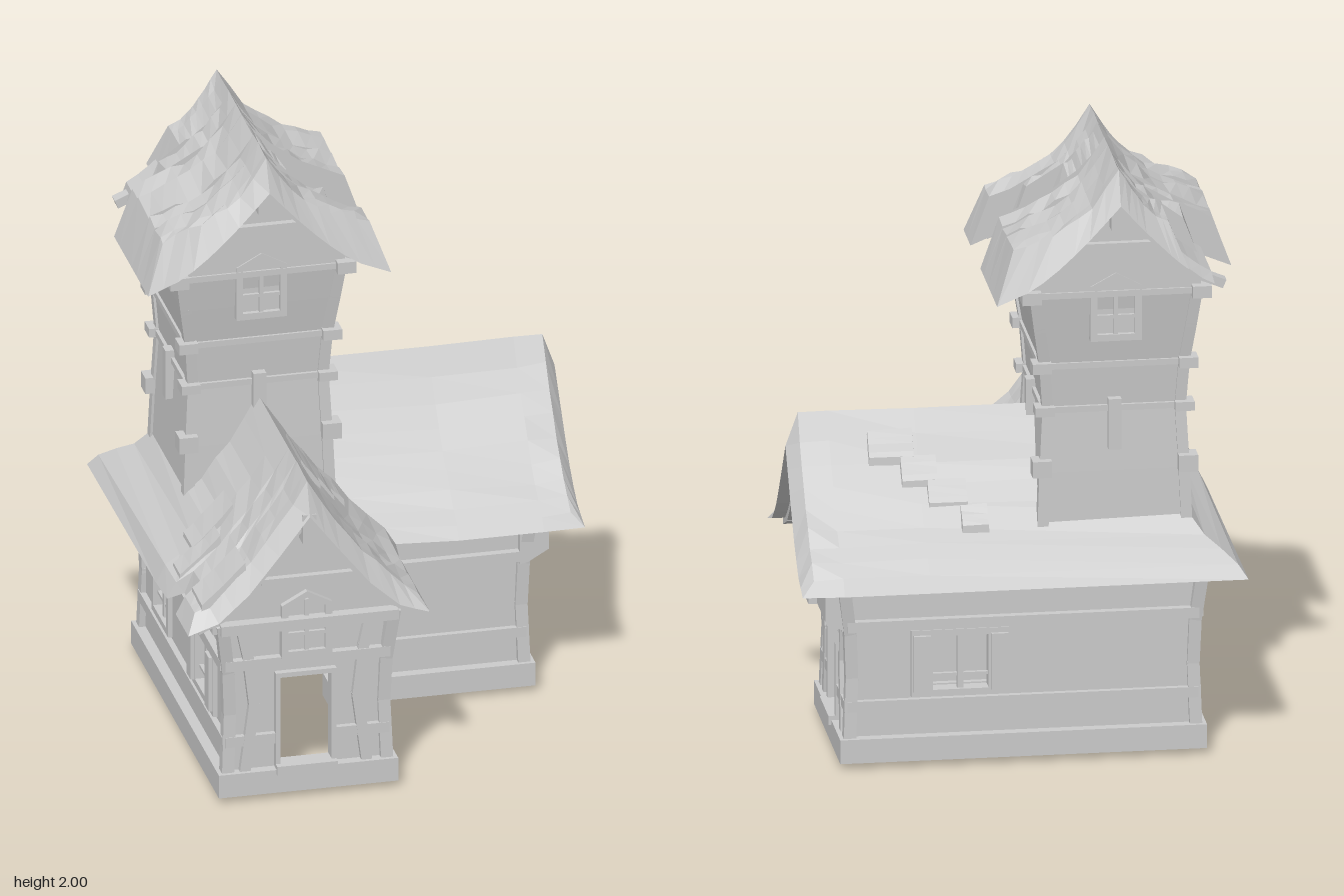
import * as THREE from 'three';

const mat = new THREE.MeshStandardMaterial({ color: 0xcccccc, flatShading: true, side: THREE.DoubleSide });
const CX = -0.315, CZ = -0.27; // ridge crossing and tower centre
let seed = 7;
const rnd = () => (seed = (seed * 16807) % 2147483647) / 2147483647;

function add(parent, name, geo) {
  const m = new THREE.Mesh(geo, mat);
  m.name = name;
  parent.add(m);
  return m;
}
function box(parent, name, x, y, z, w, h, d) {
  add(parent, name, new THREE.BoxGeometry(w, h, d)).position.set(x, y, z);
}
// timber between two points, kept square to the walls; d is its size along z when it rises
function beam(parent, name, a, b, w, d = w) {
  const A = new THREE.Vector3(...a), B = new THREE.Vector3(...b);
  const m = add(parent, name, new THREE.BoxGeometry(w, d, A.distanceTo(B) + Math.min(w, d) * 0.4));
  const up = a[1] === b[1] ? new THREE.Vector3(0, 1, 0) : new THREE.Vector3(0, 0, 1);
  m.position.copy(A).add(B).multiplyScalar(0.5);
  m.quaternion.setFromRotationMatrix(new THREE.Matrix4().lookAt(B, A, up));
}
const polybeam = (p, name, pts, w, d) => pts.slice(1).forEach((q, i) => beam(p, name, pts[i], q, w, d));
// flat outline with holes, extruded backwards from z = 0
function slab(parent, name, pts, holes, depth) {
  const s = new THREE.Shape(pts.map(p => new THREE.Vector2(...p)));
  holes.forEach(h => s.holes.push(new THREE.Path(h.map(p => new THREE.Vector2(...p)))));
  const g = new THREE.ExtrudeGeometry(s, { depth, bevelEnabled: false });
  return add(parent, name, g.translate(0, 0, -depth));
}
const rect = (x0, x1, y0, y1) => [[x0, y0], [x1, y0], [x1, y1], [x0, y1]];
function side(parent, name, x, z, turn) {
  const g = new THREE.Group();
  g.name = name;
  g.position.set(x, 0, z);
  g.rotation.y = turn * Math.PI / 2;
  parent.add(g);
  return g;
}
const at = (table, d) => {
  d = Math.abs(d);
  let i = 1;
  while (i < table.length - 1 && table[i][0] < d) i++;
  const [a, b] = [table[i - 1], table[i]];
  return a[1] + (b[1] - a[1]) * Math.min(1, (d - a[0]) / (b[0] - a[0]));
};

// thatch swept through stations: o = ridge point, a = sideways direction, e = travel, lo..hi = extent
function thatch(parent, name, stations, top, bot, chamfer, inset, rough = 0.014, n = 17) {
  const rings = stations.map((s, i) => {
    const ring = [[], []];
    const ins = i === 0 ? inset : i === stations.length - 1 ? -inset : 0;
    [[top, chamfer, ins], [bot, 0, 0]].forEach(([table, ch, shift], layer) => {
      const lo = s.lo + ch, hi = s.hi - ch;
      for (let k = 0; k < n; k++) {
        const t = 2 * k / (n - 1) - 1;
        const d = lo < 0 && hi > 0 ? (t < 0 ? -t * lo : t * hi) : lo + (hi - lo) * (t + 1) / 2;
        const y = at(table, d) - (layer ? 0 : rnd() * rough * (k === (n - 1) / 2 ? 0.4 : 1));
        ring[layer].push([s.o[0] + s.a[0] * d + s.e[0] * shift, y, s.o[1] + s.a[1] * d + s.e[1] * shift]);
      }
    });
    return [...ring[0], ...ring[1].reverse()];
  });
  const pos = [];
  const quad = (a, b, c, d) => pos.push(...a, ...b, ...c, ...a, ...c, ...d);
  const m = 2 * n;
  for (let i = 0; i < rings.length - 1; i++)
    for (let k = 0; k < m; k++) {
      const j = (k + 1) % m;
      quad(rings[i][k], rings[i][j], rings[i + 1][j], rings[i + 1][k]);
    }
  const F = rings[0], E = rings[rings.length - 1];
  for (let k = 0; k < n - 1; k++) {
    quad(F[k], F[m - 1 - k], F[m - 2 - k], F[k + 1]);
    quad(E[k], E[k + 1], E[m - 2 - k], E[m - 1 - k]);
  }
  const g = new THREE.BufferGeometry();
  g.setAttribute('position', new THREE.Float32BufferAttribute(pos, 3));
  g.computeVertexNormals();
  add(parent, name, g);
}
const alongZ = (z, lo, hi) => ({ o: [CX, z], a: [1, 0], e: [0, -1], lo, hi });
const alongX = (x, lo, hi) => ({ o: [x, CZ], a: [0, 1], e: [1, 0], lo, hi });
const lift = (table, h) => table.map(([d, y]) => [d, y + h]);

// L-shaped plan, grown outwards by o
const plan = o => [[-0.57 - o, 0.6 + o], [-0.05 + o, 0.6 + o], [-0.05 + o, 0.0 + o],
  [0.545 + o, 0.0 + o], [0.545 + o, -0.54 - o], [-0.57 - o, -0.54 - o]];

// pointed gable window with frame, recessed pane and bars
function archWindow(parent, y, z) {
  const g = side(parent, 'gableWindow', 0, z, 0);
  g.position.y = y;
  const arch = s => [[-0.083 + s, s], [0.083 - s, s], [0.083 - s, 0.185 - s * 0.4], [0, 0.23 - s], [-0.083 + s, 0.185 - s * 0.4]];
  slab(g, 'windowFrame', arch(0), [arch(0.022)], 0.035).position.z = 0.02;
  slab(g, 'windowPane', arch(0.02), [], 0.02).position.z = 0.004;
  box(g, 'windowBar', 0, 0.11, 0.008, 0.014, 0.18, 0.014);
  box(g, 'windowBar', 0, 0.08, 0.008, 0.125, 0.012, 0.014);
}
// windows are [centre, frame width]; wide frames get a shutter on either side of the opening
function wall(parent, name, x, z, turn, w, windows, door) {
  const g = side(parent, name, x, z, turn);
  const holes = windows.map(([c]) => rect(c - 0.095, c + 0.095, 0.245, 0.435));
  if (door) holes.push(rect(-0.085, 0.085, 0.1, 0.42));
  slab(g, 'wallPanel', rect(-w / 2, w / 2, 0.03, 0.64), holes, 0.03);
  windows.forEach(([c, ww]) => {
    slab(g, 'windowFrame', rect(c - ww / 2, c + ww / 2, 0.228, 0.452), [rect(c - 0.09, c + 0.09, 0.25, 0.43)], 0.05).position.z = 0.014;
    if (ww > 0.25) for (const s of [-1, 1]) box(g, 'shutter', c + s * (ww / 4 + 0.045), 0.34, 0.014, ww / 2 - 0.105, 0.19, 0.025);
    box(g, 'mullion', c, 0.34, -0.008, 0.02, 0.19, 0.02);
    box(g, 'glazingBar', c, 0.295, -0.008, 0.19, 0.01, 0.014);
  });
  if (door) {
    for (const s of [-1, 1]) {
      box(g, 'doorPost', s * 0.092, 0.265, 0, 0.016, 0.33, 0.045);
      polybeam(g, 'bowedPost', [[s * 0.2, 0.1, 0.004], [s * 0.17, 0.33, 0.004], [s * 0.19, 0.5, 0.004], [s * 0.215, 0.62, 0.004]], 0.035);
    }
    box(g, 'doorLintel', 0, 0.426, 0, 0.2, 0.016, 0.045);
    box(g, 'doorSill', 0, 0.1, 0.01, 0.2, 0.03, 0.07);
  }
}
// gable triangle with rafters, collar and king post
function gable(parent, name, x, z, turn, outline, rake, collarY, collarW) {
  const g = side(parent, name, x, z, turn);
  slab(g, 'gablePanel', [...outline, ...outline.slice(0, -1).reverse().map(p => [-p[0], p[1]])], [], 0.03);
  for (const s of [-1, 1]) polybeam(g, 'rafter', rake.map(p => [s * p[0], p[1], 0.02]), 0.03, 0.04);
  box(g, 'kingPost', 0, rake[rake.length - 1][1] - 0.04, 0.03, 0.045, 0.1, 0.05);
  box(g, 'collarBeam', 0, collarY, 0.008, collarW, 0.022, 0.03);
  return g;
}

export function createModel() {
  const model = new THREE.Group();
  model.name = 'cottageWithTower';

  // stone footing ring and doorstep
  const footing = slab(model, 'footing', plan(0.035).map(([x, z]) => [x, -z]), [plan(-0.05).map(([x, z]) => [x, -z])], 0.08);
  footing.rotation.x = -Math.PI / 2;
  footing.position.y = 0.1;
  box(model, 'doorstep', 0.53, 0.03, CZ, 0.05, 0.06, 0.2);

  // walls
  wall(model, 'frontWall', CX, 0.6, 0, 0.51, [], true);
  wall(model, 'sideWingEndWall', 0.545, CZ, 1, 0.54, [], true);
  wall(model, 'frontWingInnerWall', -0.05, 0.3, 1, 0.6, [[-0.005, 0.23]]);
  wall(model, 'sideWingFrontWall', 0.2475, 0, 0, 0.595, []);
  wall(model, 'backWall', -0.0125, -0.54, 2, 1.115, [[-0.2, 0.32]]);
  wall(model, 'outerWall', -0.57, 0.03, 3, 1.14, [[-0.3, 0.23], [0.275, 0.32]]);

  // horizontal timbers; the low one is interrupted by the doors
  const ring = plan(0.002);
  const level = (pts, y) => pts.map(([x, z]) => [x, y, z]);
  const loop = (o, y) => level([...plan(o), plan(o)[0]], y);
  polybeam(model, 'lowBeam', level([[-0.215, ring[0][1]], ring[1], ring[2], ring[3], [ring[3][0], -0.17]], 0.205), 0.035);
  polybeam(model, 'lowBeam', level([[ring[4][0], -0.37], ring[4], ring[5], ring[0], [-0.415, ring[0][1]]], 0.205), 0.035);
  polybeam(model, 'middleBeam', loop(0.004, 0.475), 0.045, 0.035);
  polybeam(model, 'eaveBeam', loop(0.025, 0.615), 0.06, 0.035);

  // bowed corner posts
  const offs = [0.002, -0.006, 0, 0.022].map(plan);
  ring.forEach((_, c) => polybeam(model, 'cornerPost',
    [0.09, 0.3, 0.45, 0.62].map((y, i) => [offs[i][c][0], y, offs[i][c][1]]), 0.04));

  // jettied upper end of the side wing, with a sloping underside
  slab(model, 'jetty', [[0.53, 0.45], [0.555, 0.455], [0.625, 0.495], [0.625, 0.62], [0.53, 0.62]], [], 0.585).position.z = 0.03;
  for (const z of [-0.09, -0.44]) beam(model, 'bracket', [0.555, 0.36, z], [0.605, 0.48, z], 0.025);

  // lower gables
  const lowGable = [[0.3, 0.6], [0.28, 0.66], [0.2, 0.75], [0.1, 0.875], [0, 1.01]];
  const lowRake = [[0.36, 0.63], [0.28, 0.665], [0.2, 0.74], [0.1, 0.865], [0, 0.995]];
  for (const [name, x, z, turn] of [['frontGable', CX, 0.615, 0], ['sideGable', 0.632, CZ, 1]])
    archWindow(gable(model, name, x, z, turn, lowGable, lowRake, 0.765, 0.3), 0.49, 0);

  // L-shaped lower roof, mitred at the corner
  const top = [[0, 1.115], [0.08, 0.99], [0.18, 0.86], [0.28, 0.755], [0.36, 0.69], [0.42, 0.655]];
  const bot = [[0, 1.0], [0.1, 0.87], [0.2, 0.745], [0.3, 0.655], [0.42, 0.615]];
  thatch(model, 'lowerRoof', [
    alongZ(0.675, -0.4, 0.395), alongZ(0.58, -0.4, 0.395), alongZ(0.5, -0.4, 0.395), alongZ(0.48, -0.345, 0.395),
    alongZ(0.39, -0.345, 0.395), alongZ(0.38, -0.4, 0.395), alongZ(0.25, -0.405, 0.395),
    { o: [CX, CZ], a: [1, 1], e: [0, 0], lo: -0.41, hi: 0.41 },
    alongX(0.3, -0.41, 0.425), alongX(0.58, -0.41, 0.425), alongX(0.715, -0.405, 0.42)
  ], top, bot, 0.03, 0.04, 0.018);

  // stepped patches of raised thatch
  const patch = (name, fn, rows) => rows.forEach(([s0, s1, lo, hi]) =>
    thatch(model, name, [fn(s0, lo, hi), fn(s1, lo, hi)], lift(top, 0.012), lift(top, -0.03), 0.004, 0.003, 0.006, 5));
  patch('frontRoofPatch', alongZ, [[0.33, 0.12, 0.05, 0.12], [0.27, 0.12, 0.12, 0.18], [0.2, 0.1, 0.18, 0.23],
    [0.64, 0.5, -0.35, -0.2], [0.38, 0.28, -0.36, -0.22], [0.3, 0.17, -0.3, -0.16]]);
  patch('backRoofPatch', alongX, [[0.09, 0.18, -0.26, -0.2], [0.15, 0.28, -0.2, -0.14], [0.24, 0.36, -0.15, -0.09], [0.31, 0.46, -0.1, -0.04]]);

  // flared square tower
  const tower = side(model, 'tower', CX, CZ, 0);
  const prof = [[0.245, 0.7], [0.235, 0.95], [0.224, 1.16], [0.235, 1.31], [0.255, 1.44], [0.272, 1.56]];
  add(tower, 'towerWalls', new THREE.LatheGeometry(prof.map(([r, y]) => new THREE.Vector2(r * Math.SQRT2, y)), 4, Math.PI / 4));
  for (const sx of [-1, 1]) for (const sz of [-1, 1]) {
    polybeam(tower, 'towerPost', prof.map(([r, y]) => [sx * (r - 0.01), y, sz * (r - 0.01)]), 0.036);
    for (const [y, r, h] of [[0.97, 0.236, 0.055], [1.16, 0.226, 0.03], [1.31, 0.237, 0.035], [1.56, 0.275, 0.04]])
      box(tower, 'cornerBlock', sx * r, y, sz * r, 0.062, h, 0.062);
  }
  for (const [y, r] of [[1.16, 0.226], [1.31, 0.235], [1.56, 0.272]])
    box(tower, 'towerBand', 0, y, 0, 2 * r + 0.02, 0.02, 2 * r + 0.02);
  for (let i = 0; i < 4; i++) box(side(tower, 'towerStud', 0, 0, i), 'stud', 0, 1.11, 0.235, 0.042, 0.17, 0.04);

  // tower gables, front and back
  const hiGable = [[0.275, 1.55], [0.275, 1.63], [0.18, 1.71], [0.09, 1.8], [0, 1.9]];
  const hiRake = [[0.34, 1.59], [0.28, 1.615], [0.18, 1.69], [0.09, 1.78], [0, 1.88]];
  for (const t of [0, 2])
    archWindow(gable(model, 'towerGable', CX, CZ + (1 - t) * 0.275, t, hiGable, hiRake, 1.725, 0.3), 1.4, -0.015);

  // tower roof: thin underlay with ragged, stepped thatch above
  const hiTop = [[0, 2], [0.08, 1.885], [0.18, 1.81], [0.34, 1.745]];
  const hiBot = [[0, 1.89], [0.09, 1.79], [0.18, 1.7], [0.28, 1.62], [0.4, 1.57]];
  thatch(model, 'towerRoof', [[0.12, -0.4, 0.4], [0.04, -0.4, 0.4], [-0.04, -0.4, 0.4], [-0.04, -0.4, 0.29], [-0.11, -0.4, 0.29],
    [-0.11, -0.4, 0.17], [-0.27, -0.4, 0.17], [-0.27, -0.4, 0.4], [-0.35, -0.4, 0.4], [-0.35, -0.29, 0.4], [-0.45, -0.29, 0.4],
    [-0.45, -0.22, 0.4], [-0.56, -0.22, 0.4], [-0.66, -0.22, 0.4]].map(s => alongZ(...s)), hiTop, hiBot, 0.06, 0.05, 0.022);
  thatch(model, 'towerRoofUnderlay', [0.06, -0.27, -0.61].map(z => alongZ(z, -0.31, 0.33)),
    lift(hiBot, 0.03), lift(hiBot, -0.008), 0.01, 0.01, 0.004);
  return model;
}
